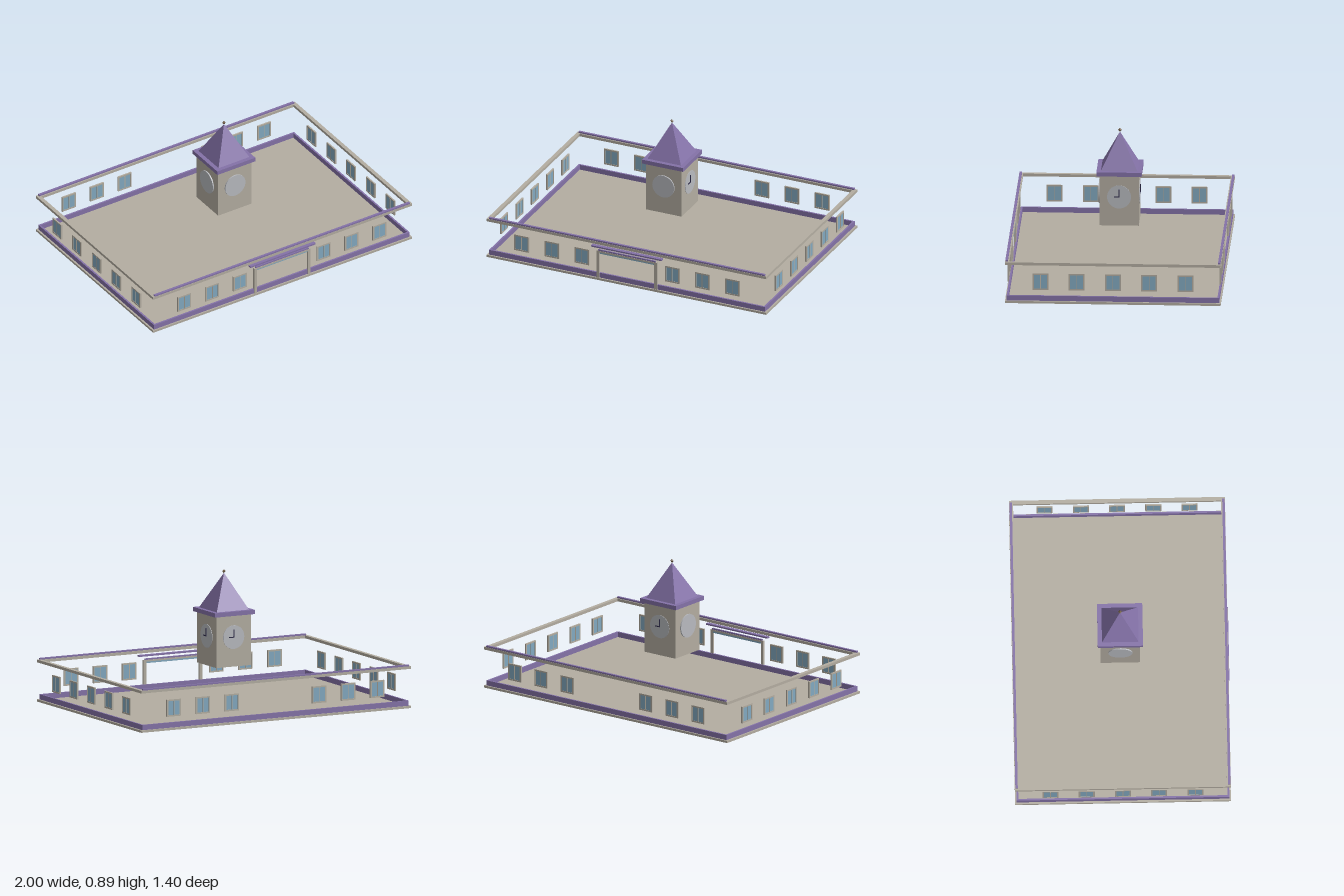
import * as THREE from 'three';

const mat = (color) => new THREE.MeshStandardMaterial({ color, flatShading: true });
const stone = mat(0xb3ada1), purple = mat(0x8472a8), glass = mat(0x82a9c0);
const dial = mat(0xb8babf), dark = mat(0x2c2a48), bronze = mat(0x75624a);

function add(parent, name, geometry, material, x = 0, y = 0, z = 0) {
  const mesh = new THREE.Mesh(geometry, material);
  mesh.name = name;
  mesh.position.set(x, y, z);
  parent.add(mesh);
  return mesh;
}

// Box given by its size, its bottom height and its centre in x and z
function box(parent, name, material, w, h, d, x, y0, z) {
  return add(parent, name, new THREE.BoxGeometry(w, h, d), material, x, y0 + h / 2, z);
}

// Rectangular ring lying flat, with half sizes X and Z and rim width t
function ring(parent, name, material, X, Z, t, y0, h) {
  for (const s of [-1, 1]) {
    box(parent, name, material, 2 * X, h, t, 0, y0, s * (Z - t / 2));
    box(parent, name, material, t, h, 2 * (Z - t), s * (X - t / 2), y0, 0);
  }
}

// Two-pane window facing +z, centred on its origin
function makeWindow() {
  const g = new THREE.Group();
  g.name = 'window';
  const w = 0.104, h = 0.112, t = 0.01;
  for (const s of [-1, 1]) {
    box(g, 'windowJamb', stone, t, h, 0.01, s * (w - t) / 2, -h / 2, 0);
    box(g, 'windowRail', stone, w - 2 * t, t, 0.01, 0, s * (h - t) / 2 - t / 2, 0);
  }
  box(g, 'windowGlass', glass, w - 2 * t, h - 2 * t, 0.006, 0, -h / 2 + t, 0);
  box(g, 'windowMullion', stone, 0.004, h - 2 * t, 0.012, 0, -h / 2 + t, 0);
  return g;
}

// Clock facing +z; the thin dials show their hands
function makeClock(showHands) {
  const g = new THREE.Group();
  g.name = 'clock';
  const depth = showHands ? 0.003 : 0.008;
  const disc = new THREE.CylinderGeometry(0.078, 0.078, depth, 32).rotateX(Math.PI / 2);
  add(g, 'clockDial', disc, dial, 0, 0, depth / 2);
  if (showHands) {
    box(g, 'minuteHand', dark, 0.006, 0.05, 0.004, 0, 0, 0.005);
    box(g, 'hourHand', dark, 0.036, 0.006, 0.004, -0.016, -0.003, 0.005);
  }
  return g;
}

export function createModel() {
  const model = new THREE.Group();
  model.name = 'clockTowerBuilding';

  // Floor, plinth band and cornice
  box(model, 'floorSlab', stone, 2, 0.015, 1.4, 0, 0, 0);
  ring(model, 'plinthBand', purple, 0.987, 0.69, 0.012, 0.015, 0.034);
  ring(model, 'cornice', stone, 1, 0.7, 0.026, 0.258, 0.018);
  for (const s of [-1, 1]) box(model, 'corniceTrim', purple, 1.97, 0.01, 0.016, 0, 0.276, s * 0.69);

  // Windows along the four sides
  const place = (x, z, angle) => {
    const w = makeWindow();
    w.position.set(x, 0.144, z);
    w.rotation.y = angle;
    model.add(w);
  };
  for (const s of [-1, 1]) {
    for (const x of [0.323, 0.538, 0.754])
      for (const m of [-1, 1]) place(m * x, s * 0.688, s > 0 ? 0 : Math.PI);
    for (let i = -2; i <= 2; i++) place(s * 0.982, i * 0.235, s * Math.PI / 2);
  }

  // Entrance with lintel, glazed transom and canopy
  const entrance = new THREE.Group();
  entrance.name = 'entrance';
  model.add(entrance);
  for (const s of [-1, 1]) box(entrance, 'doorPost', stone, 0.02, 0.19, 0.014, s * 0.207, 0.013, 0.69);
  box(entrance, 'doorLintel', stone, 0.434, 0.011, 0.014, 0, 0.199, 0.69);
  box(entrance, 'doorTransom', glass, 0.394, 0.01, 0.01, 0, 0.189, 0.688);
  box(entrance, 'lintelTrim', purple, 0.41, 0.009, 0.01, 0, 0.21, 0.69);
  box(entrance, 'canopy', purple, 0.504, 0.01, 0.026, 0, 0.234, 0.692);

  // Clock tower
  const tower = new THREE.Group();
  tower.name = 'tower';
  model.add(tower);
  box(tower, 'towerShaft', stone, 0.256, 0.336, 0.256, 0, 0.27, 0);
  box(tower, 'towerCornice', purple, 0.294, 0.028, 0.294, 0, 0.606, 0);
  const roof = new THREE.ConeGeometry(0.119 * Math.SQRT2, 0.234, 4).rotateY(Math.PI / 4);
  add(tower, 'towerRoof', roof, purple, 0, 0.751, 0);
  add(tower, 'finial', new THREE.OctahedronGeometry(0.013), bronze, 0, 0.879, 0);
  for (let i = 0; i < 4; i++) {
    const side = new THREE.Group();
    side.name = 'clockSide';
    side.rotation.y = i * Math.PI / 2;
    const clock = makeClock(i === 1 || i === 2);
    clock.position.set(0, 0.464, 0.128);
    side.add(clock);
    tower.add(side);
  }

  return model;
}
